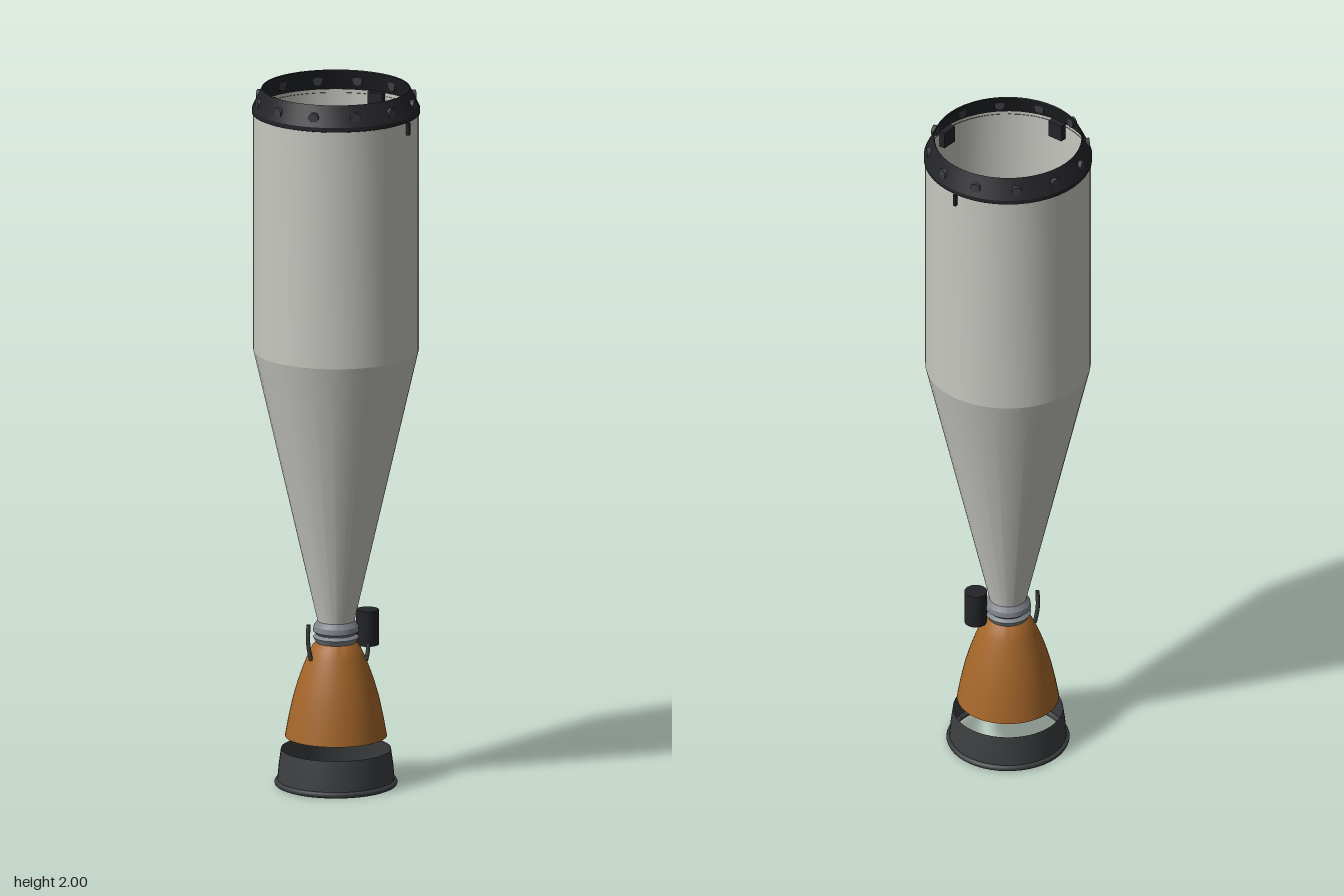
import * as THREE from 'three';
import { toCreasedNormals } from 'three/addons/utils/BufferGeometryUtils.js';

const mat = (color) => new THREE.MeshStandardMaterial({ color, side: THREE.DoubleSide });
const shell = mat(0xc8c8c2);
const black = mat(0x232428);
const bolt = mat(0x3c3e44);
const steel = mat(0x80848c);
const copper = mat(0xa5662a);
const charcoal = mat(0x3c3e40);

export function createModel() {
  const root = new THREE.Group();

  const add = (name, geometry, material, x = 0, y = 0, z = 0, parent = root) => {
    const mesh = new THREE.Mesh(geometry, material);
    mesh.name = name;
    mesh.position.set(x, y, z);
    parent.add(mesh);
    return mesh;
  };

  // Revolved part from [radius, height] pairs, with sharp edges kept
  const lathe = (name, profile, material, crease = 0.2) => {
    const points = profile.map(([r, y]) => new THREE.Vector2(r, y));
    const geometry = toCreasedNormals(new THREE.LatheGeometry(points, 48), crease);
    return add(name, geometry, material);
  };

  // Thin pipe along a few points
  const pipe = (name, points, radius, material) => {
    const curve = new THREE.CatmullRomCurve3(points.map((p) => new THREE.Vector3(...p)));
    return add(name, new THREE.TubeGeometry(curve, 12, radius, 8), material);
  };

  // Open hollow body: cone flaring up into a cylinder
  lathe('body', [[0.046, 0.45], [0.23, 1.25], [0.23, 1.94]], shell);

  // Sloped mounting ring on the top edge
  lathe('topRing', [[0.229, 1.928], [0.234, 1.93], [0.234, 1.942], [0.206, 2.0], [0.204, 1.998], [0.228, 1.938]], black);

  // Radial bolts round the ring
  const bolts = new THREE.Group();
  bolts.name = 'ringBolts';
  root.add(bolts);
  const boltGeometry = new THREE.CylinderGeometry(0.0145, 0.0145, 0.015, 12).rotateX(Math.PI / 2);
  for (let i = 0; i < 12; i++) {
    const a = (i * Math.PI) / 6;
    const mesh = add('bolt', boltGeometry, bolt, Math.sin(a) * 0.22, 1.966, Math.cos(a) * 0.22, bolts);
    mesh.rotation.y = a;
  }

  // Latch blocks inside the wall on the diagonals
  for (let i = 0; i < 4; i++) {
    const a = Math.PI / 4 + (i * Math.PI) / 2;
    const block = add('latchBlock', new THREE.BoxGeometry(0.046, 0.05, 0.018), black, Math.sin(a) * 0.217, 1.915, Math.cos(a) * 0.217);
    block.rotation.y = a;
  }

  // Small outer tabs under the ring
  for (const side of [-1, 1]) {
    const tab = add('outerTab', new THREE.BoxGeometry(0.008, 0.036, 0.014), black, 0.164, 1.912, side * 0.164);
    tab.rotation.y = Math.PI / 2 - (side * Math.PI) / 4;
  }

  // Throat collar with a closed top
  lathe('throatCollar', [
    [0, 0.475], [0.051, 0.475], [0.062, 0.46], [0.064, 0.445], [0.054, 0.436], [0.064, 0.428], [0.055, 0.412], [0, 0.41],
  ], steel);

  // Engine bell, open at the bottom
  lathe('engineBell', [
    [0.05, 0.418], [0.066, 0.402], [0.079, 0.375], [0.093, 0.34], [0.107, 0.3], [0.12, 0.255], [0.132, 0.2], [0.142, 0.145],
  ], copper, 0.7);

  // Detached nozzle extension with a rolled lip
  lathe('nozzleExtension', [[0.153, 0.108], [0.159, 0.065], [0.164, 0.01]], charcoal, 0.7);
  add('nozzleLip', new THREE.TorusGeometry(0.163, 0.0085, 8, 48).rotateX(Math.PI / 2), charcoal, 0, 0.0125, 0);

  // Side canister and its bracket
  add('canister', toCreasedNormals(new THREE.CylinderGeometry(0.032, 0.032, 0.1, 16), 0.5), black, 0.09, 0.45, 0);
  add('canisterBracket', new THREE.BoxGeometry(0.04, 0.02, 0.02), black, 0.06, 0.445, 0);
  pipe('canisterPipe', [[0.085, 0.41, 0.028], [0.083, 0.385, 0.031], [0.078, 0.362, 0.032]], 0.006, charcoal);

  // Feed pipe on the other side
  pipe('feedPipe', [[-0.085, 0.472, 0.025], [-0.086, 0.42, 0.025], [-0.078, 0.37, 0.025]], 0.006, charcoal);

  return root;
}
